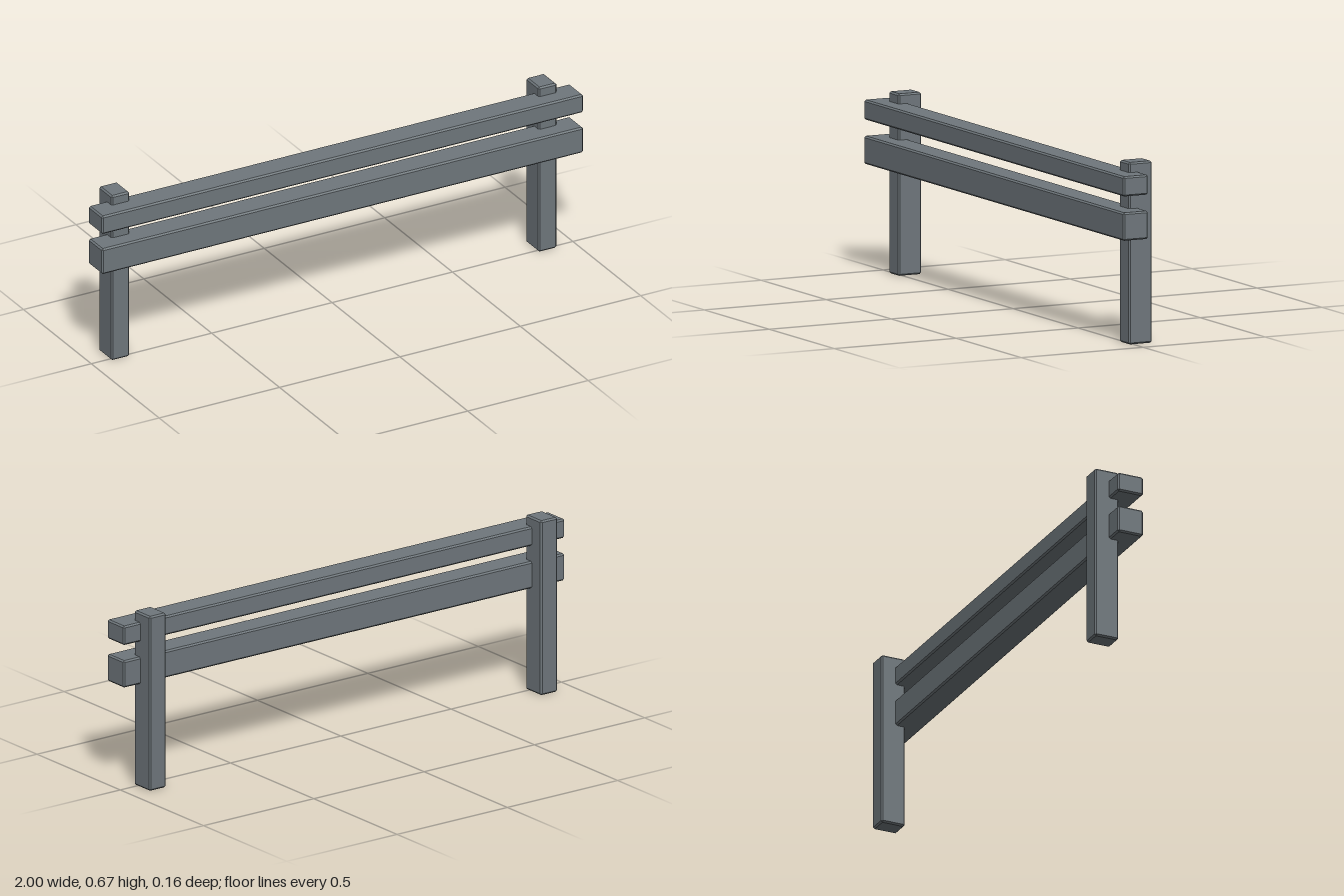
import * as THREE from 'three';
import { ConvexGeometry } from 'three/addons/geometries/ConvexGeometry.js';

const BEVEL = 0.006;

// Box with every edge chamfered: each corner is cut back into three points.
function chamferedBox(w, h, d) {
  const points = [];
  for (const sx of [-1, 1]) for (const sy of [-1, 1]) for (const sz of [-1, 1]) {
    for (let axis = 0; axis < 3; axis++) {
      const inset = [BEVEL, BEVEL, BEVEL];
      inset[axis] = 0;
      points.push(new THREE.Vector3(
        sx * (w / 2 - inset[0]), sy * (h / 2 - inset[1]), sz * (d / 2 - inset[2])));
    }
  }
  return new ConvexGeometry(points);
}

export function createModel() {
  const group = new THREE.Group();
  const grey = new THREE.MeshStandardMaterial({ color: 0x6f777c, flatShading: true });
  grey.name = 'slate grey';

  function addBeam(name, size, position) {
    const mesh = new THREE.Mesh(chamferedBox(...size), grey);
    mesh.name = name;
    mesh.position.set(...position);
    group.add(mesh);
  }

  // Upright posts, set behind the rails
  for (const side of [-1, 1]) {
    addBeam(side > 0 ? 'leftPost' : 'rightPost', [0.076, 0.667, 0.095], [side * 0.887, 0.3335, -0.0305]);
  }

  // Horizontal rails, notched into the front of the posts
  addBeam('upperRail', [2, 0.073, 0.102], [0, 0.594, 0.029]);
  addBeam('lowerRail', [2, 0.103, 0.102], [0, 0.4465, 0.029]);

  return group;
}
